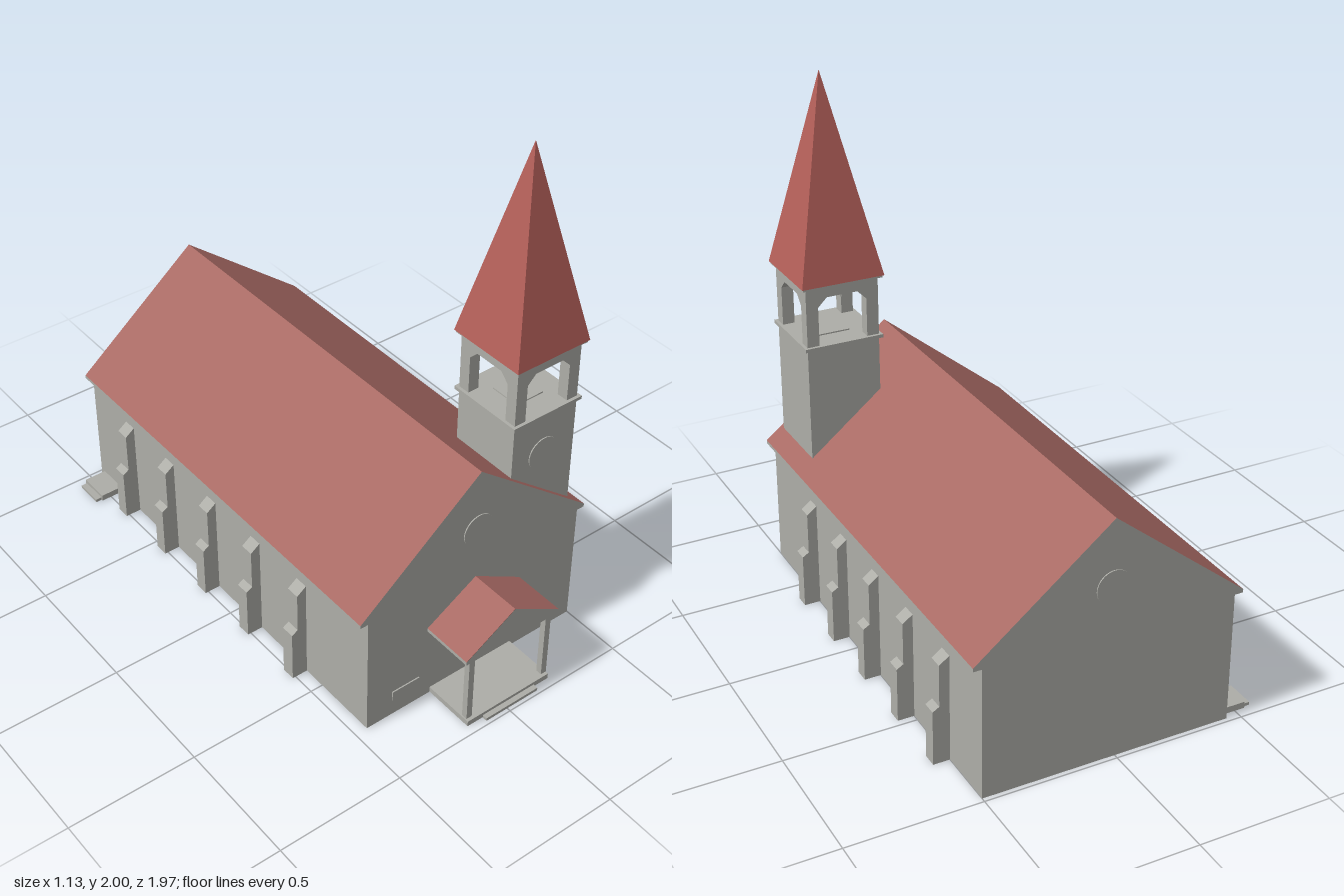
import * as THREE from 'three';
import { mergeGeometries } from 'three/addons/utils/BufferGeometryUtils.js';

const material = (name, color) =>
  new THREE.MeshStandardMaterial({ name, color, flatShading: true, side: THREE.DoubleSide });

const CX = 0.025;              // centre line of the nave
const FRONT = 0.757, BACK = -0.983;
const TX = 0.328, TZ = 0.59;   // tower axis
const roofY = (x) => 0.92 - Math.abs(x - CX) * 0.802;

// Shell swept along z from an open profile (up the left, down the right), open underneath
function shell(profile, z0, z1, caps = true) {
  const pos = [];
  for (let i = 0; i < profile.length - 1; i++) {
    const [ax, ay] = profile[i], [bx, by] = profile[i + 1];
    pos.push(ax, ay, z0, ax, ay, z1, bx, by, z1, ax, ay, z0, bx, by, z1, bx, by, z0);
  }
  const sides = new THREE.BufferGeometry();
  sides.setAttribute('position', new THREE.Float32BufferAttribute(pos, 3));
  sides.computeVertexNormals();
  if (!caps) return sides;
  const shape = new THREE.Shape(profile.map(([x, y]) => new THREE.Vector2(x, y)));
  const cap = (z) => {
    const g = new THREE.ShapeGeometry(shape).toNonIndexed();
    g.deleteAttribute('uv');
    return g.translate(0, 0, z);
  };
  return mergeGeometries([sides, cap(z0), cap(z1)]);
}

export function createModel() {
  const model = new THREE.Group();
  model.name = 'church';
  const stone = material('stone', 0xadada7);
  const roofRed = material('roofRed', 0xa86a64);
  const spireRed = material('spireRed', 0xb5605a);

  const add = (name, geometry, mat, parent = model) => {
    const mesh = new THREE.Mesh(geometry, mat);
    mesh.name = name;
    parent.add(mesh);
    return mesh;
  };
  const box = (name, x0, x1, y0, y1, z0, z1, parent = model) =>
    add(name, new THREE.BoxGeometry(x1 - x0, y1 - y0, z1 - z0)
      .translate((x0 + x1) / 2, (y0 + y1) / 2, (z0 + z1) / 2), stone, parent);
  const disc = (name, x, y, z) =>
    add(name, new THREE.CylinderGeometry(0.065, 0.065, 0.008, 32)
      .rotateX(Math.PI / 2).translate(x, y, z), stone);

  // Nave: side walls with projecting eaves, gable ends and roof slopes
  for (const s of [-1, 1]) {
    const wall = [[0.475, 0], [0.475, 0.5], [0.508, 0.5], [0.508, 0.513]]
      .map(([x, y]) => [CX + s * x, y]);
    if (s > 0) wall.reverse();
    add('sideWall', shell(wall, BACK, FRONT, false), stone);
  }
  const gable = new THREE.Shape([
    [-0.475, 0], [0.475, 0], [0.475, 0.5], [0.508, 0.5], [0.508, 0.513], [0, 0.92],
    [-0.508, 0.513], [-0.508, 0.5], [-0.475, 0.5],
  ].map(([x, y]) => new THREE.Vector2(CX + x, y)));
  add('frontWall', new THREE.ShapeGeometry(gable), stone).position.z = FRONT;
  add('backWall', new THREE.ShapeGeometry(gable), stone).position.z = BACK;
  add('naveRoof', shell([[CX - 0.508, 0.513], [CX, 0.92], [CX + 0.508, 0.513]],
    BACK, FRONT, false), roofRed);

  // Stepped buttresses along both sides
  for (const s of [-1, 1]) {
    for (let i = 0; i < 5; i++) {
      const z = 0.382 - i * 0.2765;
      const profile = [[0.475, 0], [0.475, 0.413], [0.513, 0.385], [0.513, 0.225], [0.538, 0.21], [0.538, 0]]
        .map(([x, y]) => [CX + s * x, y]);
      if (s < 0) profile.reverse();
      add('buttress', shell(profile, z - 0.027, z + 0.027), stone);
    }
  }

  // Round gable windows, tower window and wall plate
  disc('frontRoundWindow', CX, 0.665, FRONT);
  disc('backRoundWindow', CX, 0.665, BACK);
  disc('towerRoundWindow', TX, 0.835, TZ + 0.142);
  box('wallPlate', -0.34, -0.22, 0.07, 0.11, FRONT, FRONT + 0.005);

  // Porch
  const porch = new THREE.Group();
  porch.name = 'porch';
  model.add(porch);
  box('porchFloor', -0.167, 0.21, 0.002, 0.024, FRONT, 0.965, porch);
  box('porchStep', -0.097, 0.142, 0, 0.012, 0.94, 0.985, porch);
  for (const s of [-1, 1]) {
    const x = CX + s * 0.175;
    box('porchPost', x - 0.012, x + 0.012, 0.024, 0.312, 0.928, 0.952, porch);
  }
  box('porchBeam', CX - 0.212, CX + 0.212, 0.311, 0.325, FRONT, 0.963, porch);
  const pitch = [[CX - 0.212, 0.325], [CX, 0.45], [CX + 0.212, 0.325]];
  add('porchRoof', shell(pitch, FRONT - 0.008, 0.962), roofRed, porch);
  add('porchGable', new THREE.ShapeGeometry(
    new THREE.Shape(pitch.map(([x, y]) => new THREE.Vector2(x, y)))), stone, porch).position.z = 0.963;

  // Side entrance steps at the back
  box('sideStepUpper', -0.54, -0.45, 0, 0.025, -0.96, -0.835);
  box('sideStepLower', -0.565, -0.54, 0, 0.012, -0.953, -0.842);

  // Tower shaft, cut to the roof slope
  const tower = new THREE.Group();
  tower.name = 'tower';
  model.add(tower);
  const h = 0.142, xl = TX - h, xr = TX + h;
  add('towerShaft', shell([[xl, roofY(xl)], [xl, 1.003], [xr, 1.003], [xr, roofY(xr)]],
    TZ - h, TZ + h), stone, tower);
  const slab = (name, r, y0, y1) => box(name, TX - r, TX + r, y0, y1, TZ - r, TZ + r, tower);
  slab('towerLedge', 0.154, 1.003, 1.016);
  slab('belfryHatch', 0.06, 1.016, 1.021);
  slab('belfryCornice', 0.156, 1.243, 1.256);

  // Belfry: four walls with chamfered openings
  const arch = new THREE.Shape([
    [-h, 0], [-0.095, 0], [-0.095, 0.15], [-0.06, 0.185], [0.06, 0.185], [0.095, 0.15],
    [0.095, 0], [h, 0], [h, 0.227], [-h, 0.227],
  ].map(([x, y]) => new THREE.Vector2(x, y)));
  for (let i = 0; i < 4; i++) {
    const wall = add('belfryWall', new THREE.ExtrudeGeometry(arch, { depth: 0.045, bevelEnabled: false })
      .translate(0, 0, h - 0.045).rotateY(i * Math.PI / 2), stone, tower);
    wall.position.set(TX, 1.016, TZ);
  }

  // Spire
  add('spire', new THREE.ConeGeometry(0.161 * Math.SQRT2, 0.748, 4)
    .rotateY(Math.PI / 4).translate(TX, 1.252 + 0.374, TZ), spireRed, tower);

  return model;
}
